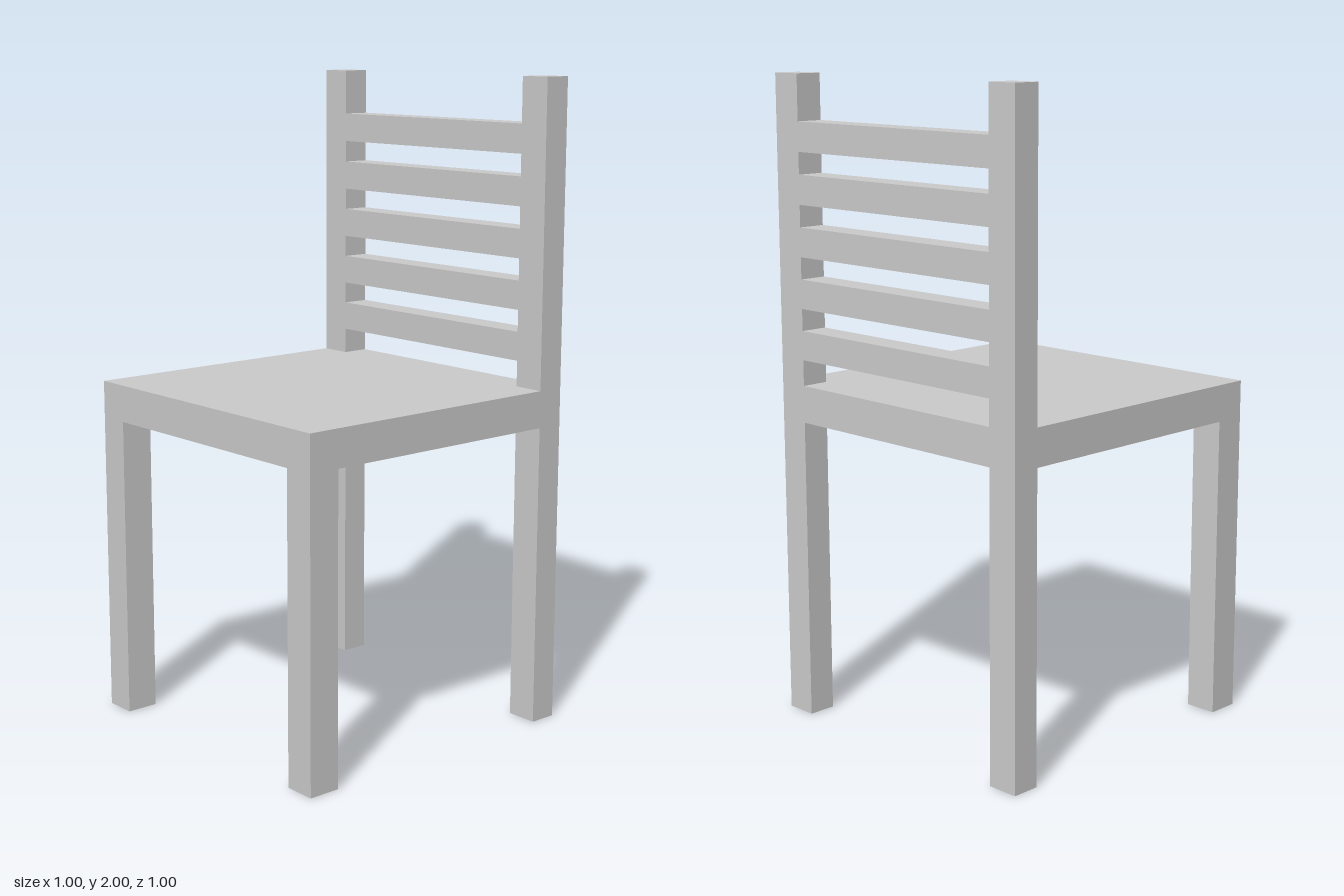
import * as THREE from 'three';

const material = new THREE.MeshStandardMaterial({ color: 0xcccccc, flatShading: true });

// Box given by its extents along each axis
function block(name, [x0, x1], [y0, y1], [z0, z1]) {
  const mesh = new THREE.Mesh(new THREE.BoxGeometry(x1 - x0, y1 - y0, z1 - z0), material);
  mesh.name = name;
  mesh.position.set((x0 + x1) / 2, (y0 + y1) / 2, (z0 + z1) / 2);
  return mesh;
}

export function createModel() {
  const chair = new THREE.Group();
  chair.name = 'chair';

  const seatBottom = 0.945, seatTop = 1.06;
  const backX = [0.412, 0.5]; // depth shared by posts, slats and rear rail
  const inner = 0.4;          // inside face of the legs
  const between = [-inner, inner];

  // Seat, with its rear edge set between the back posts
  chair.add(block('seat', [-0.5, backX[0]], [seatBottom, seatTop], [-0.5, 0.5]));
  chair.add(block('seatRearEdge', backX, [seatBottom, seatTop], between));

  // Short front legs and full-height back posts
  for (const [side, z] of [['Left', [-0.5, -inner]], ['Right', [inner, 0.5]]]) {
    chair.add(block('frontLeg' + side, [-0.5, -0.398], [0, seatBottom], z));
    chair.add(block('backPost' + side, backX, [0, 2], z));
  }

  // Horizontal backrest slats, flush with the posts
  for (let i = 0; i < 5; i++) {
    const y = 1.14 + i * 0.1575;
    chair.add(block('backSlat' + (i + 1), backX, [y, y + 0.09], between));
  }

  return chair;
}
